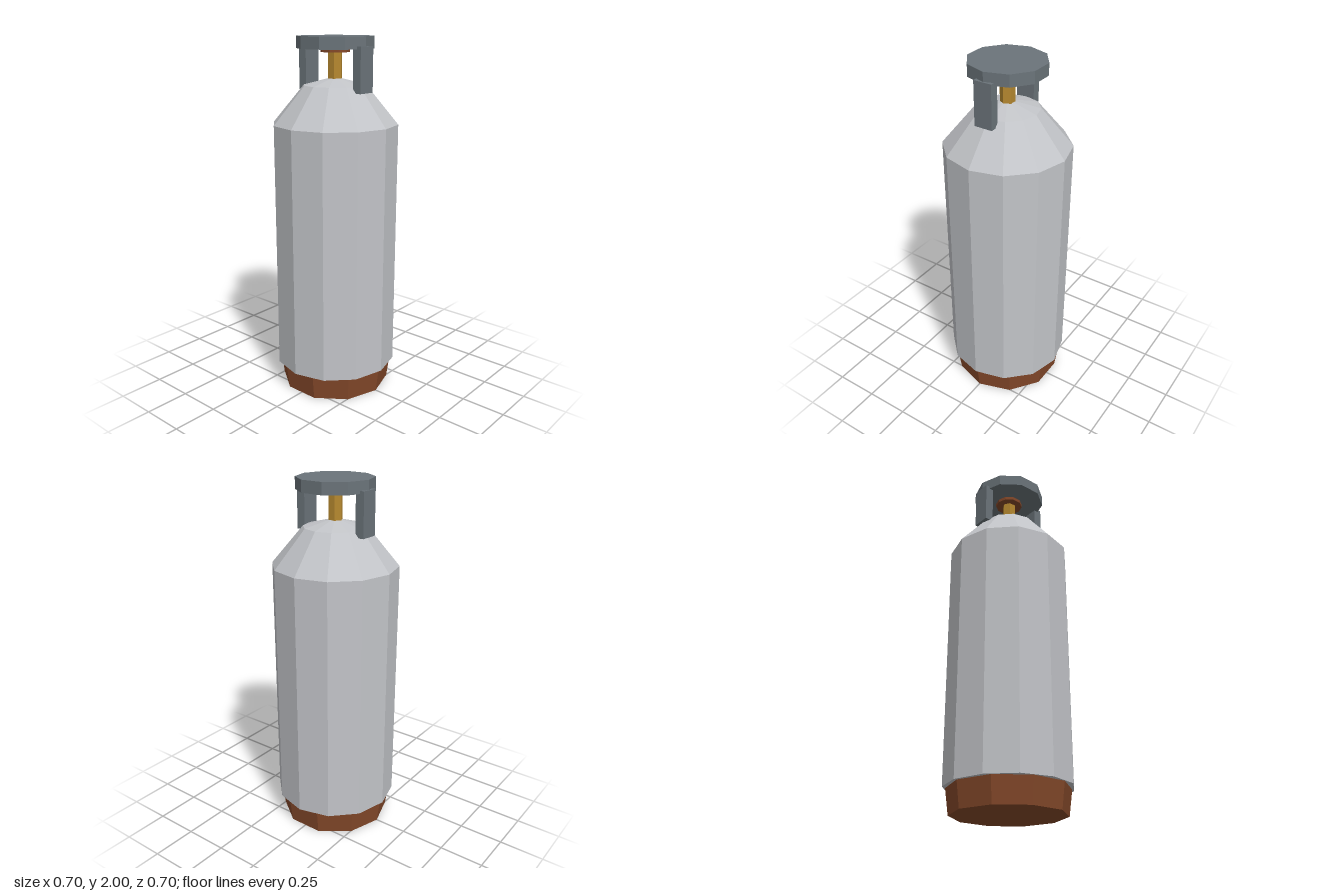
import * as THREE from 'three';

export function createModel() {
  const group = new THREE.Group();
  const material = (name, color) => {
    const m = new THREE.MeshStandardMaterial({ color, flatShading: true });
    m.name = name;
    return m;
  };
  const steel = material('pale steel', 0xc2c4c8);
  const rust = material('rust brown', 0x85492a);
  const brass = material('brass', 0xb5882f);
  const iron = material('dark iron', 0x6b747a);

  const add = (name, geometry, mat, x = 0, y = 0) => {
    const mesh = new THREE.Mesh(geometry, mat);
    mesh.name = name;
    mesh.position.set(x, y, 0);
    group.add(mesh);
  };
  // faceted drum between two heights, with a corner on the x axis
  const drum = (name, rTop, rBottom, y0, y1, sides, mat) =>
    add(name, new THREE.CylinderGeometry(rTop, rBottom, y1 - y0, sides).rotateY(Math.PI / 2), mat, 0, (y0 + y1) / 2);

  // tank: straight wall, sloped shoulder and shallow crown
  const profile = [[0, 0.14], [0.348, 0.14], [0.348, 1.535], [0.174, 1.742], [0, 1.787]]
    .map(([r, y]) => new THREE.Vector2(r, y));
  add('tank', new THREE.LatheGeometry(profile, 12), steel);

  // foot ring
  drum('foot', 0.332, 0.312, 0, 0.15, 10, rust);

  // valve
  drum('valveStem', 0.04, 0.04, 1.76, 1.925, 6, brass);
  drum('valveWasher', 0.08, 0.08, 1.916, 1.937, 10, rust);

  // protective cap and its two side brackets
  drum('cap', 0.21, 0.21, 1.935, 2, 10, iron);
  for (const [side, name] of [[1, 'leftBracket'], [-1, 'rightBracket']]) {
    add(name, new THREE.BoxGeometry(0.05, 0.24, 0.104), iron, side * 0.192, 1.83);
  }
  return group;
}
